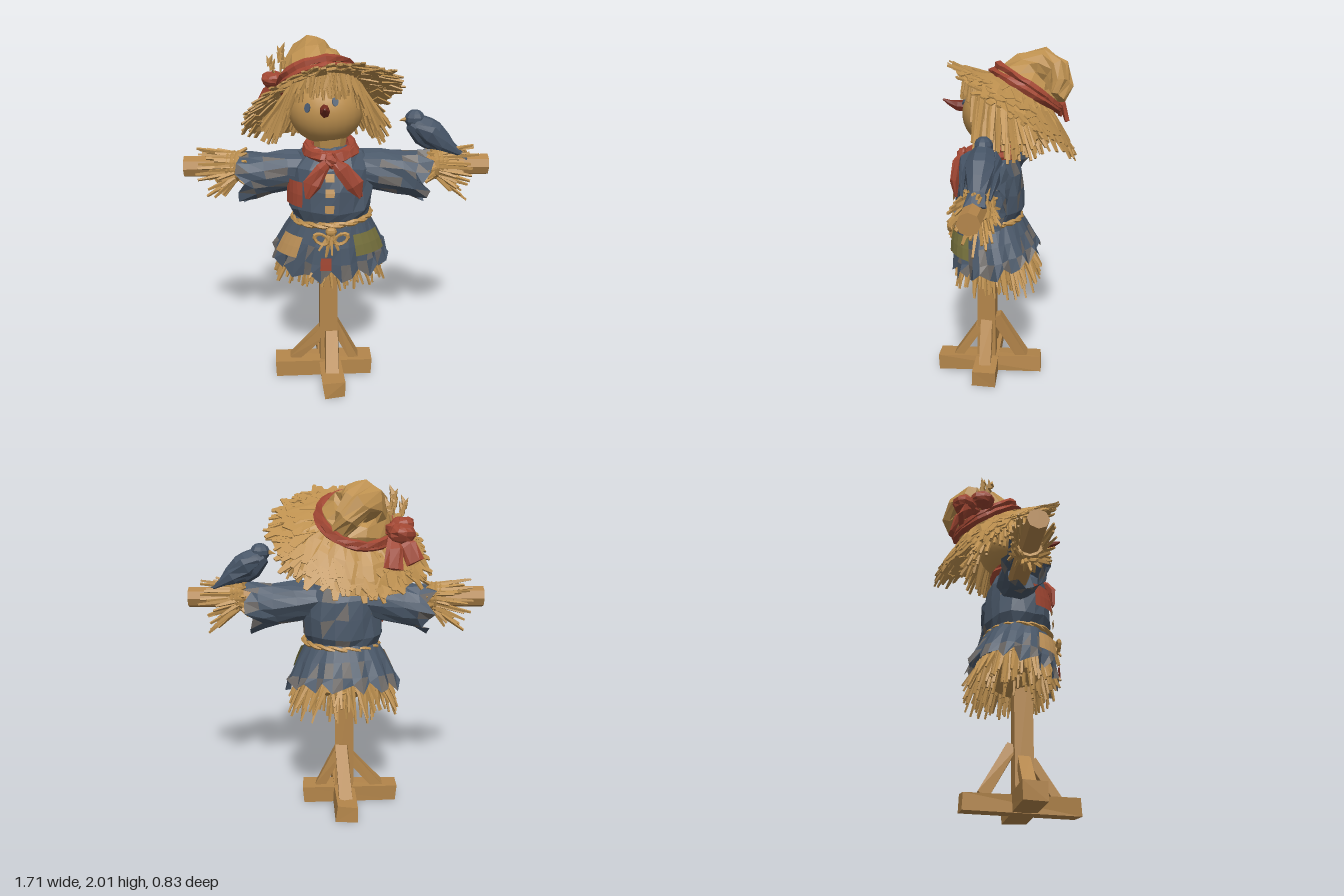
import * as THREE from 'three';
import { mergeGeometries } from 'three/addons/utils/BufferGeometryUtils.js';

const V = (x, y, z) => new THREE.Vector3(x, y, z);
const UP = V(0, 1, 0), TAU = Math.PI * 2;

export function createModel() {
  let seed = 7;
  const rnd = (a = 0, b = 1) => {
    seed = (seed * 16807) % 2147483647;
    return a + (b - a) * seed / 2147483647;
  };
  const mat = (name, color, double) => {
    const m = new THREE.MeshStandardMaterial({ color });
    m.name = name;
    if (double) m.side = THREE.DoubleSide;
    return m;
  };
  const straw = mat('straw', 0xbd904f, true), wood = mat('wood', 0xb4864b);
  const denim = mat('blue cloth', 0x4a5869, true), worn = mat('worn grey cloth', 0x6e6a67, true);
  const red = mat('red cloth', 0xa04632, true), olive = mat('olive patch', 0x78733e, true);
  const tan = mat('tan patch', 0xbd9158, true), noseRed = mat('dark red nose', 0x782d20);
  const feather = mat('blue feather', 0x455365), eyeBlue = mat('eye blue', 0x4a5b70);

  const model = new THREE.Group();
  model.name = 'scarecrow';

  // Faceted copy with one normal per face
  const flat = g => {
    const f = g.index ? g.toNonIndexed() : g;
    f.deleteAttribute('uv');
    f.computeVertexNormals();
    return f;
  };
  const add = (name, geo, material, parent = model) => {
    const m = new THREE.Mesh(flat(geo), material);
    m.name = name;
    parent.add(m);
    return m;
  };
  const addAll = (name, list, material, parent) => add(name, mergeGeometries(list.map(flat)), material, parent);
  // Uneven hand-cut look: shift every corner by a hash of its position
  const jitter = (g, amt) => {
    const p = g.attributes.position;
    for (let i = 0; i < p.count; i++) {
      const k = Math.round(p.getX(i) * 500) * 12.99 + Math.round(p.getY(i) * 500) * 78.23 + Math.round(p.getZ(i) * 500) * 37.72;
      p.setXYZ(i, p.getX(i) + Math.sin(k) * amt, p.getY(i) + Math.sin(k * 1.7 + 1) * amt, p.getZ(i) + Math.sin(k * 2.3 + 2) * amt);
    }
    return g;
  };
  // Stretch a unit-high geometry from a to b
  const between = (g, a, b) => {
    const d = b.clone().sub(a);
    return g.scale(1, d.length(), 1)
      .applyQuaternion(new THREE.Quaternion().setFromUnitVectors(UP, d.normalize()))
      .translate((a.x + b.x) / 2, (a.y + b.y) / 2, (a.z + b.z) / 2);
  };
  const strand = (a, b, w) => between(new THREE.CylinderGeometry(w * 0.45, w, 1, 4).rotateY(rnd(0, 3)), a, b);
  const ball = (x, y, z, rx, ry, rz, n = 8) => new THREE.SphereGeometry(1, n, Math.ceil(n * 0.7)).scale(rx, ry, rz).translate(x, y, z);
  // Skin rings [x, y, z, rx, rz]; rule gives [radius scale, slide], paint picks material 0 or 1
  const loft = (rings, sides, { cap = true, rule = () => [1, 0], paint = () => 0 } = {}) => {
    const pos = [], idx = [[], []], c = rings.map(r => V(r[0], r[1], r[2])), n = rings.length;
    rings.forEach((r, j) => {
      const t = c[Math.min(j + 1, n - 1)].clone().sub(c[Math.max(j - 1, 0)]).normalize();
      const q = new THREE.Quaternion().setFromUnitVectors(UP, t);
      for (let i = 0; i < sides; i++) {
        const a = i / sides * TAU, [s, o] = rule(j, i);
        pos.push(...V(Math.cos(a) * r[3] * s, o, Math.sin(a) * r[4] * s).applyQuaternion(q).add(c[j]));
      }
    });
    for (let j = 0; j < n - 1; j++) for (let i = 0; i < sides; i++) {
      const k = (i + 1) % sides, a = j * sides + i, b = j * sides + k;
      idx[paint(j, i, 0)].push(a, a + sides, b);
      idx[paint(j, i, 1)].push(b, a + sides, b + sides);
    }
    if (cap) {
      pos.push(...c[0], ...c[n - 1]);
      for (let i = 0; i < sides; i++) {
        const k = (i + 1) % sides, e = (n - 1) * sides;
        idx[0].push(n * sides, i, k, n * sides + 1, e + k, e + i);
      }
    }
    const g = new THREE.BufferGeometry();
    g.setAttribute('position', new THREE.Float32BufferAttribute(pos, 3));
    g.setIndex([...idx[0], ...idx[1]]);
    g.addGroup(0, idx[0].length, 0);
    g.addGroup(idx[0].length, idx[1].length, 1);
    return g;
  };

  // Wooden stand
  const beam = (name, a, b, w, d) => add(name, jitter(between(new THREE.BoxGeometry(w, 1, d), a, b), 0.005), wood);
  beam('crossBeam', V(-0.375, 0.055, 0.11), V(0.205, 0.055, 0.095), 0.1, 0.135);
  beam('lengthBeam', V(-0.025, 0.053, 0.41), V(-0.07, 0.053, -0.235), 0.125, 0.1);
  beam('post', V(-0.05, 0.05, 0.105), V(-0.05, 1.0, 0.105), 0.11, 0.11);
  [[-0.27, 0.1, -0.08, 0.29], [0.1, 0.1, -0.02, 0.34]].forEach(([x, z, x2, y]) =>
    beam('brace', V(x, 0.09, z), V(x2, y, z), 0.06, 0.07));
  beam('brace', V(-0.035, 0.09, 0.29), V(-0.035, 0.3, 0.15), 0.075, 0.06);
  beam('brace', V(-0.06, 0.09, -0.12), V(-0.03, 0.38, 0.05), 0.075, 0.06);
  add('armBeam', between(new THREE.CylinderGeometry(0.06, 0.06, 1, 8), V(-0.855, 1.32, 0.055), V(0.855, 1.315, 0.055)), wood);

  // Tunic: skirt and torso share one profile of rings
  const skirt = [[-0.04, 0.775, 0.045, 0.335, 0.262], [-0.04, 0.85, 0.058, 0.31, 0.245], [-0.035, 0.94, 0.075, 0.27, 0.22], [-0.03, 1.05, 0.09, 0.21, 0.18]];
  const torso = [[-0.03, 1.04, 0.09, 0.21, 0.18], [-0.035, 1.1, 0.085, 0.235, 0.2], [-0.03, 1.22, 0.085, 0.235, 0.195],
    [-0.03, 1.33, 0.075, 0.235, 0.17], [-0.03, 1.41, 0.07, 0.18, 0.13], [-0.03, 1.44, 0.065, 0.09, 0.09]];
  add('tunicSkirt', loft(skirt, 36, {
    cap: false,
    rule: (j, i) => [1 + (i % 3 ? 0.025 : -0.05) * (3 - j) / 2, j ? 0 : [-0.025, 0.03, 0, -0.02, 0.04][i % 5] - 0.012 * Math.sin(i / 36 * TAU)],
    paint: (j, i, t) => (j === 0 ? ((i * 5 + t) % 11 < 5 ? 1 : 0) : j === 1 ? ((i * 7 + t) % 13 < 3 ? 1 : 0) : 0),
  }), [denim, worn]);
  add('tunicBody', jitter(loft(torso, 18, { paint: (j, i, t) => (j < 4 && i > 9 && (i * 5 + j * 7 + t) % 13 < 2 ? 1 : 0) }), 0.008), [denim, worn]);
  for (const s of [-1, 1]) {
    const sleeve = [[-0.12, 1.31, 0.065, 0.1, 0.12], [-0.25, 1.295, 0.06, 0.115, 0.12], [-0.37, 1.275, 0.057, 0.125, 0.12], [-0.45, 1.265, 0.055, 0.13, 0.125], [-0.525, 1.255, 0.055, 0.138, 0.13]];
    add('sleeve', jitter(loft(sleeve.map(([x, ...r]) => [-s * x - 0.02, ...r]), 16, {
      cap: false,
      rule: (j, i) => [1 + (j === 4 ? [0.12, -0.06][i % 2] : 0), j === 4 ? [0.02, -0.03, 0.005][i % 3] : 0],
      paint: (j, i, t) => (j === 3 ? ((i * 5 + t) % 11 < 4 ? 1 : 0) : j > 0 && (i * 7 + j * 5 + t) % 13 < 2 ? 1 : 0),
    }), 0.008), [denim, worn]);
  }
  add('neck', new THREE.CylinderGeometry(0.1, 0.085, 0.1, 10).translate(-0.04, 1.46, 0.07), straw);

  // Patches laid on the tunic: angle and height ranges
  const patch = (name, rings, a0, a1, y0, y1, material, lift = 0.016) => {
    const g = new THREE.PlaneGeometry(1, 1, 4, 2), p = g.attributes.position;
    for (let i = 0; i < p.count; i++) {
      const a = a1 + (a0 - a1) * (p.getX(i) + 0.5), y = y0 + (y1 - y0) * (p.getY(i) + 0.5);
      const k = Math.max(0, Math.min(rings.length - 2, rings.findIndex(r => r[1] > y) - 1));
      const A = rings[k], B = rings[k + 1], f = (y - A[1]) / (B[1] - A[1]);
      const m = n => A[n] + (B[n] - A[n]) * f;
      p.setXYZ(i, m(0) + Math.cos(a) * (m(3) + lift), y, m(2) + Math.sin(a) * (m(4) + lift));
    }
    add(name, g, material);
  };
  patch('olivePatch', skirt, 0.4, 1.13, 0.86, 0.985, olive, 0.022);
  patch('tanPatch', skirt, 2.2, 2.78, 0.845, 0.965, tan, 0.022);
  patch('redPatch', torso, 2.25, 2.85, 1.14, 1.28, red, 0.026);
  patch('hemPatch', skirt, 1.57, 1.75, 0.785, 0.86, red, 0.02);
  [1.12, 1.21, 1.29].forEach(y => patch('button', torso, 1.53, 1.73, y, y + 0.045, tan, 0.018));

  // Straw under the skirt
  const under = [];
  for (let i = 0; i < 170; i++) {
    const a = i * 2.39996, f = i < 100 ? 1 : rnd(0.35, 0.9), l = rnd(0.9, 1.13);
    under.push(strand(V(-0.04 + Math.cos(a) * 0.25 * f, 0.85, 0.055 + Math.sin(a) * 0.2 * f),
      V(-0.04 + Math.cos(a + rnd(-0.2, 0.2)) * 0.3 * f * l, rnd(0.62, 0.74), 0.04 + Math.sin(a) * 0.245 * f * l), 0.016));
  }
  addAll('skirtStraw', under, straw);
  add('strawFilling', loft([[-0.045, 0.7, 0.09, 0.08, 0.08], [-0.04, 0.84, 0.055, 0.28, 0.21]], 12), straw);

  // Rope belt with a bow and loose ends
  const rope = [];
  for (const k of [0, 1]) {
    const pts = Array.from({ length: 32 }, (_, i) => {
      const a = i / 32 * TAU, w = i * Math.PI / 2 + k * Math.PI;
      return V(-0.03 + Math.cos(a) * (0.22 + 0.007 * Math.cos(w)), 1.04 + Math.cos(a) * 0.012 + 0.008 * Math.sin(w), 0.09 + Math.sin(a) * (0.19 + 0.007 * Math.cos(w)));
    });
    rope.push(new THREE.TubeGeometry(new THREE.CatmullRomCurve3(pts, true), 64, 0.012, 5, true));
  }
  rope.push(ball(-0.04, 1.01, 0.295, 0.032, 0.028, 0.025));
  for (const s of [-1, 1])
    rope.push(new THREE.TorusGeometry(0.034, 0.011, 5, 10).scale(1.2, 0.8, 1).rotateZ(s * 0.6).translate(-0.04 + s * 0.055, 0.975, 0.315));
  [[-0.11, 0.91], [-0.07, 0.87], [-0.035, 0.88], [0.0, 0.91]].forEach(([x, y]) =>
    rope.push(strand(V(-0.04, 1.01, 0.295), V(x, y, 0.325), 0.015)));
  addAll('ropeBelt', rope, straw);

  // Straw hands bound to the arm
  for (const s of [-1, 1]) {
    const hand = [];
    for (let i = 0; i < 56; i++) {
      const a = i * 2.39996, down = Math.max(0, -Math.sin(a)), out = i % 5 > 0;
      const r = out ? rnd(0.085, 0.125) + down * rnd(0.02, 0.09) : rnd(0.09, 0.11);
      hand.push(strand(V(s * 0.56, 1.32 + Math.sin(a) * 0.064, 0.055 + Math.cos(a) * 0.064),
        V(s * (out ? rnd(0.65, 0.79) - down * 0.02 : rnd(0.5, 0.52)), 1.31 + Math.sin(a) * r, 0.055 + Math.cos(a) * r), 0.017));
    }
    for (const x of [0.555, 0.58, 0.605])
      hand.push(new THREE.TorusGeometry(0.072, 0.018, 5, 12).rotateY(Math.PI / 2 + s * 0.12).translate(s * x, 1.32, 0.055));
    addAll('strawHand', hand, straw);
  }

  // Head and face
  const hc = V(-0.06, 1.645, 0.04);
  const head = new THREE.Mesh(ball(hc.x, hc.y, hc.z, 0.21, 0.195, 0.2, 24), straw);
  head.name = 'head';
  model.add(head);
  for (const [x, y] of [[-0.16, 1.685], [-0.015, 1.72]]) {
    const n = V(x, y, 0.04 + Math.sqrt(0.04 - (x - hc.x) ** 2 - (y - hc.y) ** 2)).sub(hc).normalize();
    const eye = add('eye', new THREE.CylinderGeometry(0.017, 0.017, 0.008, 10).rotateX(Math.PI / 2).scale(1, 1.5, 1), eyeBlue);
    eye.position.copy(hc).addScaledVector(n, 0.203);
    eye.lookAt(hc.clone().addScaledVector(n, 1));
  }
  add('nose', loft([[-0.07, 1.675, 0.21, 0.026, 0.034], [-0.07, 1.678, 0.27, 0.027, 0.032], [-0.072, 1.692, 0.315, 0.017, 0.017], [-0.072, 1.712, 0.355, 0.005, 0.005]], 7), noseRed);

  // Hair: short fringe in front, long at the sides and back
  const hair = [];
  for (let i = 0; i < 210; i++) {
    const a = i * 2.39996, c = Math.cos(a), s = Math.sin(a), f = THREE.MathUtils.smoothstep(s, 0.35, 0.85);
    const r = rnd(0.25, 0.36) * (1 - f) + 0.215 * f, z = 0.03 + s * 0.185;
    hair.push(strand(V(-0.06 + c * 0.19, 1.71 + 0.6 * (z + 0.02) + 0.02 * f, z),
      V(-0.06 + c * r * 1.05 + f * rnd(-0.03, 0.03), rnd(1.42, 1.56) * (1 - f) + rnd(1.73, 1.79) * f, 0.02 + s * (r * 0.8 * (1 - f) + 0.22 * f)), 0.02 - 0.003 * f));
  }
  addAll('hair', hair, straw);

  // Tilted straw hat with an oval brim, turned up at the front
  const hat = new THREE.Group();
  hat.name = 'hat';
  hat.position.set(-0.075, 1.65, -0.04);
  hat.rotation.set(-0.55, 0, 0.23);
  model.add(hat);
  const shapeBrim = g => {
    const p = g.scale(1.04, 1, 0.98).attributes.position;
    for (let i = 0; i < p.count; i++) p.setY(i, p.getY(i) + 0.5 * Math.max(0, p.getZ(i) - 0.1) ** 2);
    return g;
  };
  const brim = new THREE.LatheGeometry([[0.42, -0.01], [0.36, 0.04], [0.28, 0.085], [0.19, 0.125]].map(p => new THREE.Vector2(...p)), 36);
  add('brim', jitter(shapeBrim(brim), 0.008), straw, hat);
  const tufts = [];
  for (let i = 0; i < 190; i++) {
    const rim = i < 100, r = rim ? rnd(0.33, 0.385) : rnd(0.22, 0.33), len = rim ? rnd(0.07, 0.11) : rnd(0.09, 0.13);
    const g = new THREE.BoxGeometry(len, 0.008, rim ? rnd(0.035, 0.065) : rnd(0.06, 0.1)), p = g.attributes.position;
    for (let k = 0; k < p.count; k++) if (p.getX(k) > 0) p.setZ(k, p.getZ(k) * 0.4);
    tufts.push(shapeBrim(g.rotateY(rnd(-0.6, 0.6)).rotateZ(rim ? rnd(-0.6, -0.3) : rnd(-0.5, -0.38))
      .translate(r + len / 2, 0.125 - (r + len / 2 - 0.19) * 0.55 + (i % 4 ? 0.006 : -0.014), 0).rotateY(i * 2.39996)));
  }
  addAll('brimStraw', tufts, straw, hat);
  add('crown', jitter(loft([[0, 0.1, 0, 0.215, 0.205], [0, 0.19, 0, 0.195, 0.185], [0, 0.255, 0, 0.155, 0.145], [0.01, 0.305, -0.03, 0.115, 0.11],
    [0.045, 0.31, -0.095, 0.085, 0.085], [0.08, 0.265, -0.145, 0.068, 0.07], [0.1, 0.2, -0.165, 0.045, 0.045]], 14), 0.009), straw, hat);
  addAll('hatBand', [0.14, 0.17].map((y, k) => jitter(new THREE.TorusGeometry(0.212 - k * 0.006, 0.023, 5, 24).rotateX(Math.PI / 2 + 0.04 - k * 0.08).translate(0, y, 0), 0.004)), red, hat);

  // Bow at the back right of the hat, with a wheat sprig
  addAll('hatBow', [
    ball(-0.3, 1.74, -0.21, 0.04, 0.04, 0.04),
    ball(-0.355, 1.765, -0.17, 0.07, 0.042, 0.075, 10), ball(-0.345, 1.73, -0.275, 0.075, 0.05, 0.07, 10),
    loft([[-0.42, 1.58, -0.3, 0.055, 0.016], [-0.38, 1.66, -0.28, 0.045, 0.018], [-0.31, 1.74, -0.21, 0.018, 0.018]], 6),
    loft([[-0.3, 1.55, -0.34, 0.055, 0.016], [-0.31, 1.65, -0.31, 0.045, 0.018], [-0.3, 1.74, -0.21, 0.018, 0.018]], 6),
  ].map(g => jitter(g, 0.005)), red);
  const wheat = [];
  [[-0.375, 1.87, -0.12], [-0.305, 1.93, -0.16], [-0.275, 1.87, -0.19]].forEach(([x, y, z]) => {
    const a = V(-0.315, 1.73, -0.18), b = V(x, y, z);
    wheat.push(strand(a, b, 0.009));
    for (let k = 0; k < 4; k++) {
      const p = a.clone().lerp(b, 0.65 + k * 0.1), o = (k % 2 ? 1 : -1) * 0.022;
      wheat.push(between(new THREE.ConeGeometry(0.019, 1, 5), p, p.clone().add(V(o, 0.055, o * 0.5))));
    }
  });
  addAll('wheatSprig', wheat, straw);

  // Neck scarf
  addAll('scarf', [
    new THREE.TorusGeometry(0.125, 0.04, 6, 16).rotateX(Math.PI / 2 + 0.12).translate(-0.035, 1.42, 0.08),
    new THREE.TorusGeometry(0.12, 0.03, 6, 16).rotateX(Math.PI / 2 + 0.25).translate(-0.035, 1.445, 0.075),
    ball(-0.035, 1.4, 0.24, 0.04, 0.045, 0.035),
    loft([[-0.165, 1.2, 0.275, 0.012, 0.008], [-0.14, 1.28, 0.275, 0.054, 0.02], [-0.09, 1.36, 0.26, 0.04, 0.022], [-0.04, 1.41, 0.24, 0.02, 0.02]], 7),
    loft([[0.125, 1.2, 0.255, 0.012, 0.008], [0.09, 1.27, 0.27, 0.056, 0.02], [0.02, 1.36, 0.265, 0.04, 0.022], [-0.03, 1.41, 0.24, 0.02, 0.02]], 7),
  ].map(g => jitter(g, 0.006)), red);

  // Bird perched on the left arm
  const bird = new THREE.Group();
  bird.name = 'bird';
  model.add(bird);
  const bz = 0.045;
  add('birdHead', ball(0.435, 1.58, bz, 0.058, 0.052, 0.05, 9), feather, bird);
  add('birdBody', loft([[0.41, 1.56, bz, 0.045, 0.042], [0.45, 1.54, bz, 0.068, 0.065], [0.49, 1.51, bz, 0.085, 0.08],
    [0.54, 1.48, bz, 0.085, 0.085], [0.6, 1.445, bz, 0.058, 0.065], [0.66, 1.4, bz, 0.026, 0.048], [0.73, 1.355, bz, 0.01, 0.06]], 9), feather, bird);
  for (const s of [-1, 1]) {
    add('wing', loft([[0.44, 1.54, bz + s * 0.055, 0.025, 0.015], [0.51, 1.505, bz + s * 0.083, 0.058, 0.022],
      [0.59, 1.455, bz + s * 0.085, 0.04, 0.018], [0.7, 1.385, bz + s * 0.07, 0.008, 0.006]], 6), feather, bird);
    add('birdLeg', strand(V(0.53, 1.43, bz + s * 0.03), V(0.53, 1.37, bz + s * 0.03), 0.01), straw, bird);
  }
  add('beak', between(new THREE.ConeGeometry(0.018, 1, 5), V(0.39, 1.58, bz), V(0.345, 1.57, bz)), straw, bird);

  return model;
}
